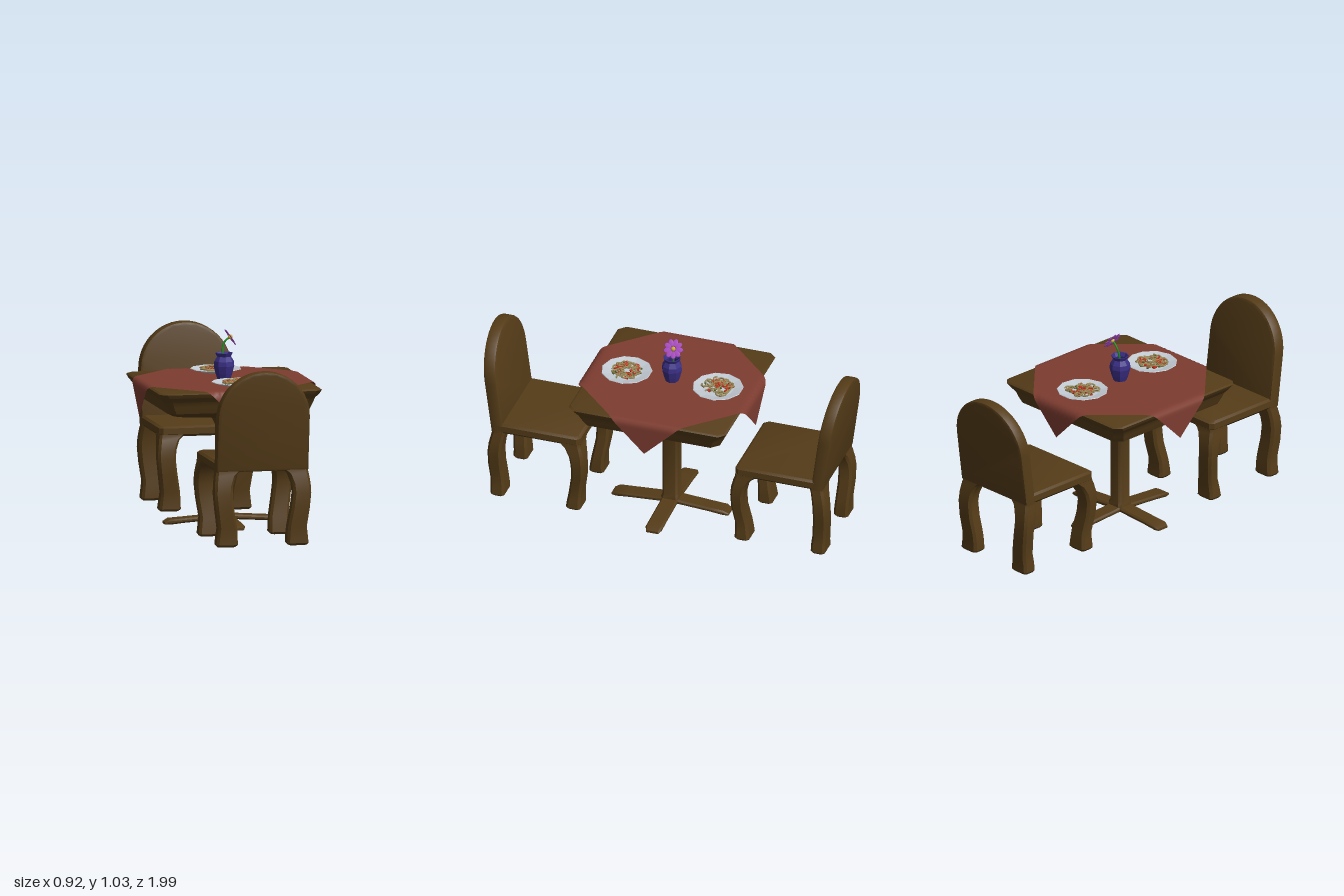
import * as THREE from 'three';
import { toCreasedNormals } from 'three/addons/utils/BufferGeometryUtils.js';

const paint = (color, extra = {}) => new THREE.MeshStandardMaterial({ color, ...extra });
const wood = paint(0x553c18);
const clothRed = paint(0x7d3c30, { side: THREE.DoubleSide });
const china = paint(0xc3cbd3, { flatShading: true, side: THREE.DoubleSide });
const vaseBlue = paint(0x3a2f86, { flatShading: true, side: THREE.DoubleSide });
const noodle = paint(0xa08c58), sauce = paint(0xc0301c), herb = paint(0x566830);
const petalPink = paint(0xb04fc8), pollen = paint(0xd0b030), stemGreen = paint(0x1f8f1f);

function add(parent, name, geometry, material) {
  const mesh = new THREE.Mesh(geometry, material);
  mesh.name = name;
  parent.add(mesh);
  return mesh;
}

// Solid through chamfered rectangles, each [y, x0, x1, z0, z1, chamfer], from bottom to top
function loft(sections) {
  const pos = [], index = [], last = (sections.length - 1) * 8;
  for (const [y, x0, x1, z0, z1, c] of sections) {
    const ring = [[x1, z1 - c], [x1, z0 + c], [x1 - c, z0], [x0 + c, z0],
      [x0, z0 + c], [x0, z1 - c], [x0 + c, z1], [x1 - c, z1]];
    for (const [x, z] of ring) pos.push(x, y, z);
  }
  for (let i = 0; i < last; i += 8) {
    for (let j = 0; j < 8; j++) {
      const a = i + j, b = i + (j + 1) % 8;
      index.push(a, b, b + 8, a, b + 8, a + 8);
    }
  }
  for (let j = 1; j < 7; j++) index.push(0, j + 1, j, last, last + j, last + j + 1);
  const g = new THREE.BufferGeometry();
  g.setAttribute('position', new THREE.Float32BufferAttribute(pos, 3));
  g.setIndex(index);
  return toCreasedNormals(g, 0.6);
}
const square = (y, r, c) => [y, -r, r, -r, r, c];

function makeTable() {
  const table = new THREE.Group();
  table.name = 'table';
  add(table, 'tableTop', loft([
    square(0.57, 0.07, 0.02), square(0.6, 0.25, 0.03), square(0.617, 0.34, 0.04),
    square(0.64, 0.385, 0.04), square(0.675, 0.4, 0.04), square(0.705, 0.41, 0.04),
    square(0.73, 0.43, 0.04), square(0.75, 0.44, 0.035), square(0.757, 0.432, 0.035),
  ]), wood);
  add(table, 'column', loft([
    square(0.02, 0.048, 0.012), square(0.055, 0.048, 0.012), square(0.07, 0.042, 0.012),
    square(0.52, 0.042, 0.012), square(0.55, 0.055, 0.015), square(0.585, 0.08, 0.02),
  ]), wood);
  // Four low feet in a cross, lofted outwards from the column
  const foot = loft([
    [0, -0.055, -0.02, -0.045, 0.045, 0.008], [0.06, -0.043, -0.018, -0.045, 0.045, 0.008],
    [0.22, -0.032, -0.008, -0.045, 0.045, 0.008], [0.3, -0.027, 0, -0.045, 0.045, 0.008],
    [0.327, -0.012, 0, -0.035, 0.035, 0.004],
  ]).rotateZ(-Math.PI / 2);
  for (let i = 0; i < 4; i++) add(table, 'foot', foot, wood).rotation.y = i * Math.PI / 2;
  return table;
}

// Square cloth laid cornerwise; the corners bend over the table edges
function makeCloth() {
  const side = 0.635 * Math.SQRT2, edge = 0.43, r = 0.03;
  const g = new THREE.PlaneGeometry(side, side, 40, 40).rotateX(-Math.PI / 2).rotateY(Math.PI / 4);
  const p = g.attributes.position;
  const bend = (v) => {
    const d = Math.abs(v) - edge;
    if (d <= 0) return [v, 0];
    const a = Math.min(d / r, Math.PI / 2);
    return [Math.sign(v) * (edge + r * Math.sin(a)), r * (1 - Math.cos(a)) + Math.max(0, d - r * Math.PI / 2)];
  };
  for (let i = 0; i < p.count; i++) {
    const [x, dropX] = bend(p.getX(i)), [z, dropZ] = bend(p.getZ(i));
    p.setXYZ(i, x, 0.765 - dropX - dropZ, z * 1.02);
  }
  g.computeVertexNormals();
  return g;
}

function makeChair() {
  const chair = new THREE.Group();
  chair.name = 'chair';
  add(chair, 'seat', loft([
    [0.4, -0.24, 0.24, 0.445, 0.915, 0.015], [0.412, -0.25, 0.25, 0.433, 0.92, 0.02],
    [0.445, -0.25, 0.25, 0.433, 0.92, 0.02], [0.456, -0.238, 0.238, 0.447, 0.91, 0.02],
  ]), wood);

  // Arched backrest, leaning away from the table
  const b = 0.014, w = 0.25 - b;
  const arch = new THREE.Shape();
  arch.moveTo(-w, 0.4 + b).lineTo(w, 0.4 + b).lineTo(w, 0.69);
  arch.absarc(0, 0.69, w, 0, Math.PI, false);
  const back = new THREE.ExtrudeGeometry(arch, {
    depth: 0.07 - 2 * b, bevelThickness: b, bevelSize: b, bevelSegments: 2, curveSegments: 12,
  });
  const p = back.attributes.position;
  for (let i = 0; i < p.count; i++) p.setZ(i, p.getZ(i) + 0.858 + b + (p.getY(i) - 0.4) * 0.132);
  add(chair, 'backrest', toCreasedNormals(back, 0.6), wood);

  // Curved legs: [y, inner x, outer x, front leg z0, z1, back leg z0, z1]
  const legRows = [
    [0, 0.145, 0.24, 0.438, 0.505, 0.864, 0.928], [0.012, 0.134, 0.25, 0.43, 0.513, 0.856, 0.936],
    [0.05, 0.135, 0.246, 0.432, 0.508, 0.857, 0.935], [0.1, 0.138, 0.24, 0.43, 0.5, 0.862, 0.938],
    [0.2, 0.156, 0.254, 0.413, 0.483, 0.87, 0.947], [0.28, 0.166, 0.262, 0.41, 0.482, 0.871, 0.947],
    [0.33, 0.161, 0.26, 0.414, 0.493, 0.866, 0.941], [0.38, 0.143, 0.253, 0.426, 0.52, 0.857, 0.93],
    [0.395, 0.128, 0.25, 0.432, 0.54, 0.852, 0.926], [0.41, 0.11, 0.249, 0.434, 0.556, 0.85, 0.924],
  ];
  for (const s of [1, -1]) {
    for (const [name, k] of [['frontLeg', 3], ['backLeg', 5]]) {
      add(chair, name, loft(legRows.map((row) => [
        row[0], Math.min(s * row[1], s * row[2]), Math.max(s * row[1], s * row[2]), row[k], row[k + 1], 0.013,
      ])), wood);
    }
  }
  return chair;
}

// Plate heaped with noodles, sauce and herbs
function makePlate(seed) {
  const rnd = () => (seed = (seed * 16807) % 2147483647) / 2147483647;
  const plate = new THREE.Group();
  plate.name = 'plateOfNoodles';
  const profile = [[0, 0.003], [0.08, 0.003], [0.137, 0.019], [0.135, 0.022], [0.085, 0.01], [0, 0.01]];
  add(plate, 'plate', new THREE.LatheGeometry(profile.map(([x, y]) => new THREE.Vector2(x, y)), 11), china);
  const place = (mesh, spread) => {
    const a = rnd() * 2 * Math.PI, d = spread * Math.sqrt(rnd());
    mesh.position.set(Math.cos(a) * d, 0.031 - 0.16 * d, Math.sin(a) * d);
    mesh.rotation.set(Math.PI / 2 + (rnd() - 0.5) * 0.5, (rnd() - 0.5) * 0.5, rnd() * 6.28);
  };
  for (let i = 0; i < 44; i++) {
    place(add(plate, 'noodle', new THREE.TorusGeometry(0.012 + rnd() * 0.012, 0.0045, 5, 8, 2.5 + rnd() * 2), noodle), 0.075);
  }
  const chunk = new THREE.BoxGeometry(0.02, 0.012, 0.009), flake = new THREE.BoxGeometry(0.011, 0.008, 0.008);
  for (let i = 0; i < 22; i++) place(add(plate, 'saucePiece', chunk, sauce), 0.075);
  for (let i = 0; i < 14; i++) place(add(plate, 'herb', flake, herb), 0.08);
  return plate;
}

function makeVase() {
  const vase = new THREE.Group();
  vase.name = 'vaseWithFlower';
  const profile = [[0, 0], [0.036, 0], [0.046, 0.03], [0.056, 0.07], [0.053, 0.095], [0.038, 0.12],
    [0.048, 0.14], [0.042, 0.14], [0.032, 0.12], [0.04, 0.09], [0, 0.08]];
  add(vase, 'vase', new THREE.LatheGeometry(profile.map(([x, y]) => new THREE.Vector2(x, y)), 8), vaseBlue);
  const path = new THREE.CatmullRomCurve3([[0, 0.08, 0], [-0.005, 0.14, -0.01], [0, 0.18, -0.018], [0.018, 0.207, -0.02], [0.038, 0.219, -0.02]]
    .map((v) => new THREE.Vector3(...v)));
  add(vase, 'stem', new THREE.TubeGeometry(path, 16, 0.005, 6), stemGreen);

  // Bloom faces along its local z axis
  const bloom = new THREE.Group();
  bloom.name = 'bloom';
  bloom.position.set(0.038, 0.22, -0.02);
  bloom.lookAt(0.038 + 0.83, 0.22 + 0.55, -0.02);
  const petal = new THREE.SphereGeometry(1, 8, 6).scale(0.023, 0.014, 0.002).translate(0.033, 0, 0);
  for (let i = 0; i < 9; i++) add(bloom, 'petal', petal, petalPink).rotation.z = i * Math.PI * 2 / 9;
  add(bloom, 'flowerCentre', new THREE.SphereGeometry(0.013, 8, 6), pollen);
  vase.add(bloom);
  return vase;
}

export function createModel() {
  const model = new THREE.Group();
  model.name = 'diningSet';
  model.add(makeTable());
  add(model, 'tablecloth', makeCloth(), clothRed);
  for (const turn of [0, Math.PI]) {
    const chair = makeChair();
    chair.rotation.y = turn;
    model.add(chair);
  }
  [[-0.262, 71], [0.248, 1234]].forEach(([z, seed]) => {
    const plate = makePlate(seed);
    plate.position.set(0.015, 0.765, z);
    model.add(plate);
  });
  const vase = makeVase();
  vase.position.y = 0.766;
  model.add(vase);
  return model;
}
